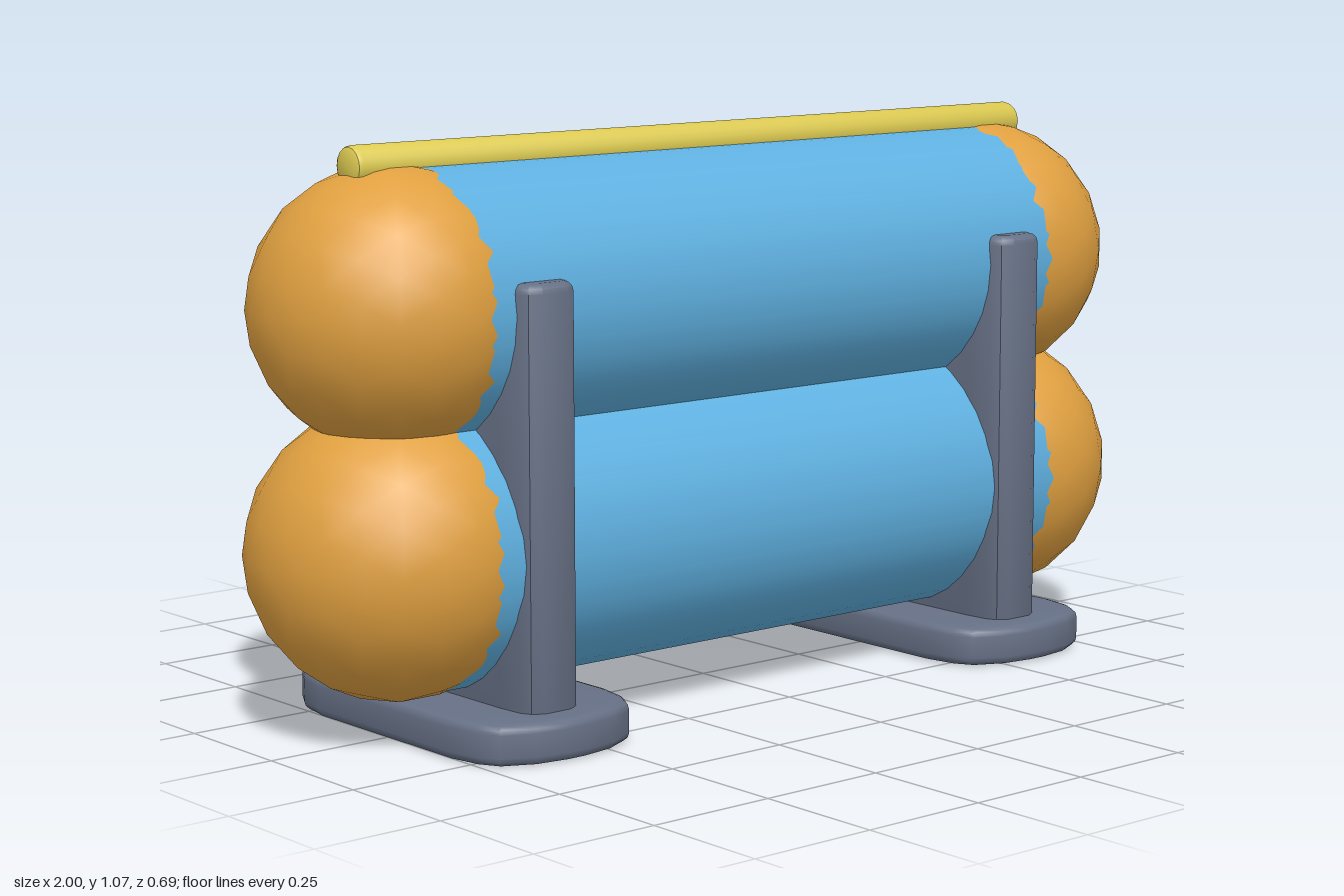
import * as THREE from 'three';
import { toCreasedNormals } from 'three/addons/utils/BufferGeometryUtils.js';

const material = (name, color) => {
  const m = new THREE.MeshStandardMaterial({ color });
  m.name = name;
  return m;
};

// Upright slab whose outline is mirrored from one quarter [x, z], with softened rims
function slab(quarter, y0, y1, bevel) {
  const back = [...quarter].reverse();
  const outline = [
    ...quarter,
    ...back.map(([x, z]) => [-x, z]),
    ...quarter.map(([x, z]) => [-x, -z]),
    ...back.map(([x, z]) => [x, -z]),
  ].map(([x, z]) => new THREE.Vector2(x, z));
  const g = new THREE.ExtrudeGeometry(new THREE.Shape(outline), {
    depth: y1 - y0 - 2 * bevel,
    bevelThickness: bevel,
    bevelSize: bevel,
    bevelOffset: -bevel,
    bevelSegments: 3,
  });
  g.rotateX(-Math.PI / 2).translate(0, y0 + bevel, 0);
  return toCreasedNormals(g, 0.6);
}

export function createModel() {
  const model = new THREE.Group();
  model.name = 'twinTankRack';
  const blue = material('tank blue', 0x5fb0e0);
  const orange = material('cap orange', 0xe0a040);
  const grey = material('stand grey', 0x667085);
  const yellow = material('rail yellow', 0xdcca52);

  const add = (name, geometry, mat, x = 0, y = 0, z = 0) => {
    const mesh = new THREE.Mesh(geometry, mat);
    mesh.name = name;
    mesh.position.set(x, y, z);
    model.add(mesh);
    return mesh;
  };

  // Two stacked tanks with ball ends
  const tanks = [
    { name: 'lower', y: 0.34, r: 0.265, cap: 0.271 },
    { name: 'upper', y: 0.78, r: 0.252, cap: 0.258 },
  ];
  for (const t of tanks) {
    const body = new THREE.CylinderGeometry(t.r, t.r, 1.46, 32).rotateZ(Math.PI / 2);
    add(t.name + 'Tank', body, blue, 0, t.y);
    for (const s of [-1, 1]) {
      add(t.name + (s > 0 ? 'LeftCap' : 'RightCap'),
        new THREE.IcosahedronGeometry(t.cap, 3), orange, s * 0.729, t.y);
    }
  }

  // Stands: a wide foot and an upright plate on each side
  const foot = slab([[0.18, 0.2], [0.168, 0.265], [0.145, 0.305], [0.085, 0.335], [0.02, 0.345]], 0, 0.075, 0.016);
  const post = slab([[0.064, 0.2], [0.06, 0.25], [0.05, 0.272], [0.028, 0.285]], 0.05, 0.838, 0.018);
  for (const s of [-1, 1]) {
    const side = s > 0 ? 'left' : 'right';
    add(side + 'Foot', foot, grey, s * 0.582);
    add(side + 'Post', post, grey, s * 0.582);
  }

  // Top rail with rounded ends
  const profile = [[0, -0.82], [0.028, -0.82], [0.035, -0.816], [0.038, -0.808],
    [0.038, 0.808], [0.035, 0.816], [0.028, 0.82], [0, 0.82]];
  const rail = new THREE.LatheGeometry(profile.map(([r, y]) => new THREE.Vector2(r, y)), 16);
  add('topRail', toCreasedNormals(rail.rotateZ(Math.PI / 2), 0.6), yellow, 0, 1.034);

  return model;
}
